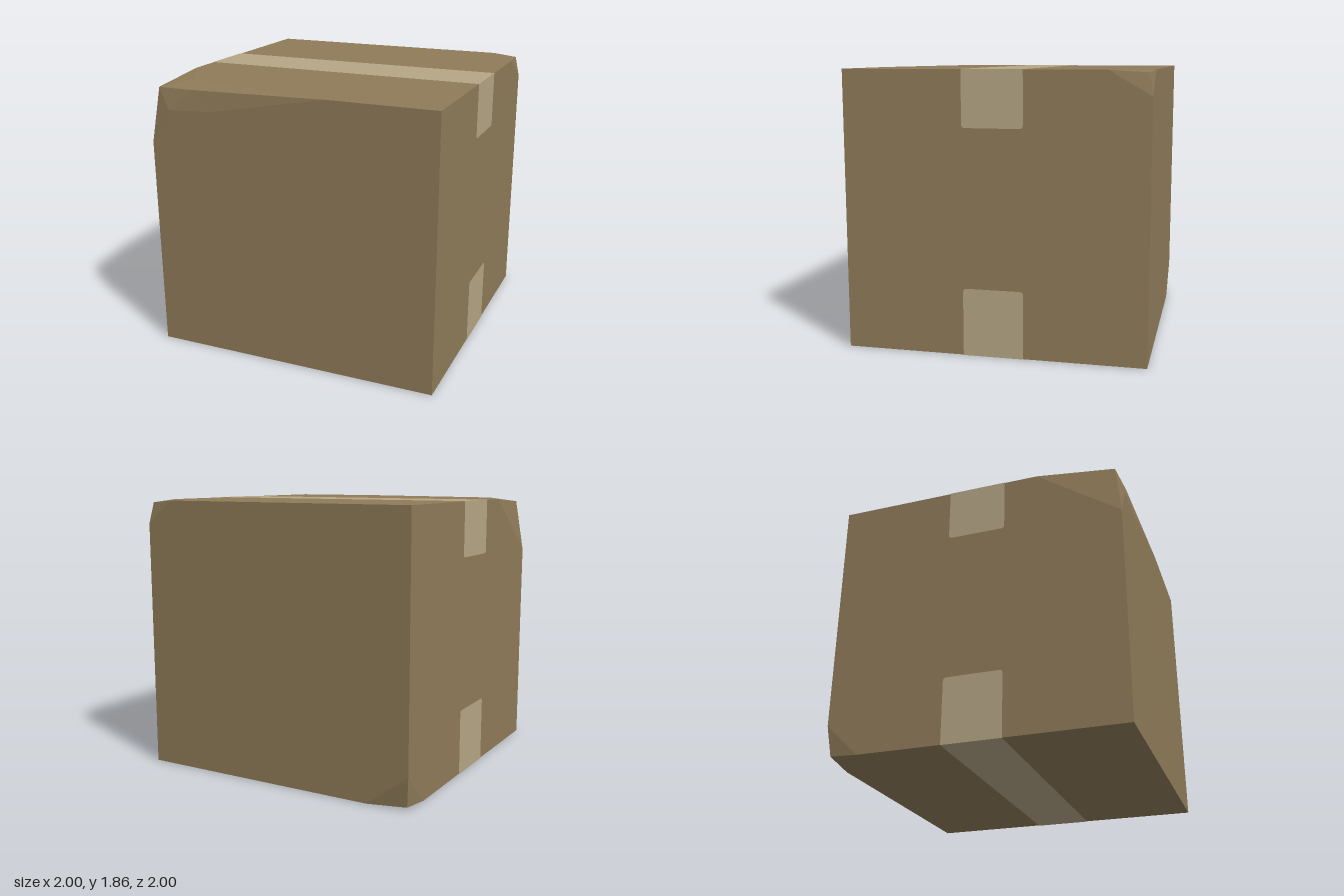
import * as THREE from 'three';

const H = 1.86; // box height
const LIFT = 0.002; // tape stands just clear of the cardboard

// Mesh of flat convex or star-shaped polygons, each fanned from its first corner
function polygonMesh(name, polygons, material) {
  const pos = [];
  for (const p of polygons) {
    for (let i = 1; i < p.length - 1; i++) pos.push(...p[0], ...p[i], ...p[i + 1]);
  }
  const geometry = new THREE.BufferGeometry();
  geometry.setAttribute('position', new THREE.Float32BufferAttribute(pos, 3));
  geometry.computeVertexNormals();
  const mesh = new THREE.Mesh(geometry, material);
  mesh.name = name;
  return mesh;
}

// Tape flap hanging down from y = 0, with its two lower corners rounded
function flapGeometry(length) {
  const w = 0.2, r = 0.025;
  const s = new THREE.Shape();
  s.moveTo(w, 0);
  s.lineTo(-w, 0);
  s.lineTo(-w, -length + r);
  s.quadraticCurveTo(-w, -length, -w + r, -length);
  s.lineTo(w - r, -length);
  s.quadraticCurveTo(w, -length, w, -length + r);
  return new THREE.ShapeGeometry(s, 6);
}

// Strip across the top or bottom, folded down over both sides
function tapeStrip(name, y, dir, flapLength, material) {
  const group = new THREE.Group();
  group.name = name;
  const strip = new THREE.Mesh(new THREE.PlaneGeometry(2 + 2 * LIFT, 0.4), material);
  strip.name = name + 'Strip';
  strip.rotation.x = -dir * Math.PI / 2;
  strip.position.y = y + dir * LIFT;
  group.add(strip);
  for (const side of [-1, 1]) {
    const flap = new THREE.Mesh(flapGeometry(flapLength), material);
    flap.name = name + 'Flap';
    flap.rotation.set(0, side * Math.PI / 2, dir > 0 ? 0 : Math.PI);
    flap.position.set(side * (1 + LIFT), y + dir * LIFT, 0);
    group.add(flap);
  }
  return group;
}

export function createModel() {
  const cardboard = new THREE.MeshStandardMaterial({ color: 0x8f7b59 });
  cardboard.name = 'cardboard';
  const tape = new THREE.MeshStandardMaterial({ color: 0xb5a685, side: THREE.DoubleSide });
  tape.name = 'packing tape';

  // Large dent, upper front corner at -x
  const c = [-0.95, 1.83, 0.96], e = [-0.7, 1.834, 0.98], f = [0.27, H, 1];
  const v = [-1, 1.46, 1], p = [-0.86, 1.69, 1], q = [-0.55, 1.705, 1];
  const t = [-0.8, H, 0.79], z = [-1, H, 0.43];
  // Small dent, upper back corner at +x
  const d = [0.975, 1.845, -0.975], a = [0.8, H, -1], b = [1, H, -0.73], g = [1, 1.7, -1];
  // Small dent, lower back corner at -x
  const k = [-0.98, 0.016, -0.97], l = [-0.71, 0, -1], m = [-1, 0, -0.775], n = [-1, 0.22, -1];
  // Undamaged corners
  const frontLowL = [1, 0, 1], frontLowR = [-1, 0, 1], backLowL = [1, 0, -1];
  const frontTopL = [1, H, 1], backTopR = [-1, H, -1];

  const model = new THREE.Group();
  model.name = 'cardboardBox';
  model.add(
    polygonMesh('boxWalls', [
      [frontLowL, frontTopL, f, q, p, v, frontLowR], // front
      [l, n, backTopR, a, g, backLowL], // back
      [frontLowL, backLowL, g, b, frontTopL], // +x side
      [n, m, frontLowR, v, z, backTopR], // -x side
      [a, backTopR, z, t, f, frontTopL, b], // top
      [m, l, backLowL, frontLowL, frontLowR], // bottom
    ], cardboard),
    polygonMesh('crushedFrontCorner', [
      [v, p, c], [p, e, c], [p, q, e], [q, f, e],
      [c, e, t], [e, f, t], [z, c, t], [v, c, z],
    ], cardboard),
    polygonMesh('crushedBackCorner', [[a, b, d], [b, g, d], [g, a, d]], cardboard),
    polygonMesh('crushedLowerCorner', [[m, k, l], [n, k, m], [l, k, n]], cardboard),
    tapeStrip('topTape', H, 1, 0.37, tape),
    tapeStrip('bottomTape', 0, -1, 0.45, tape),
  );
  return model;
}
